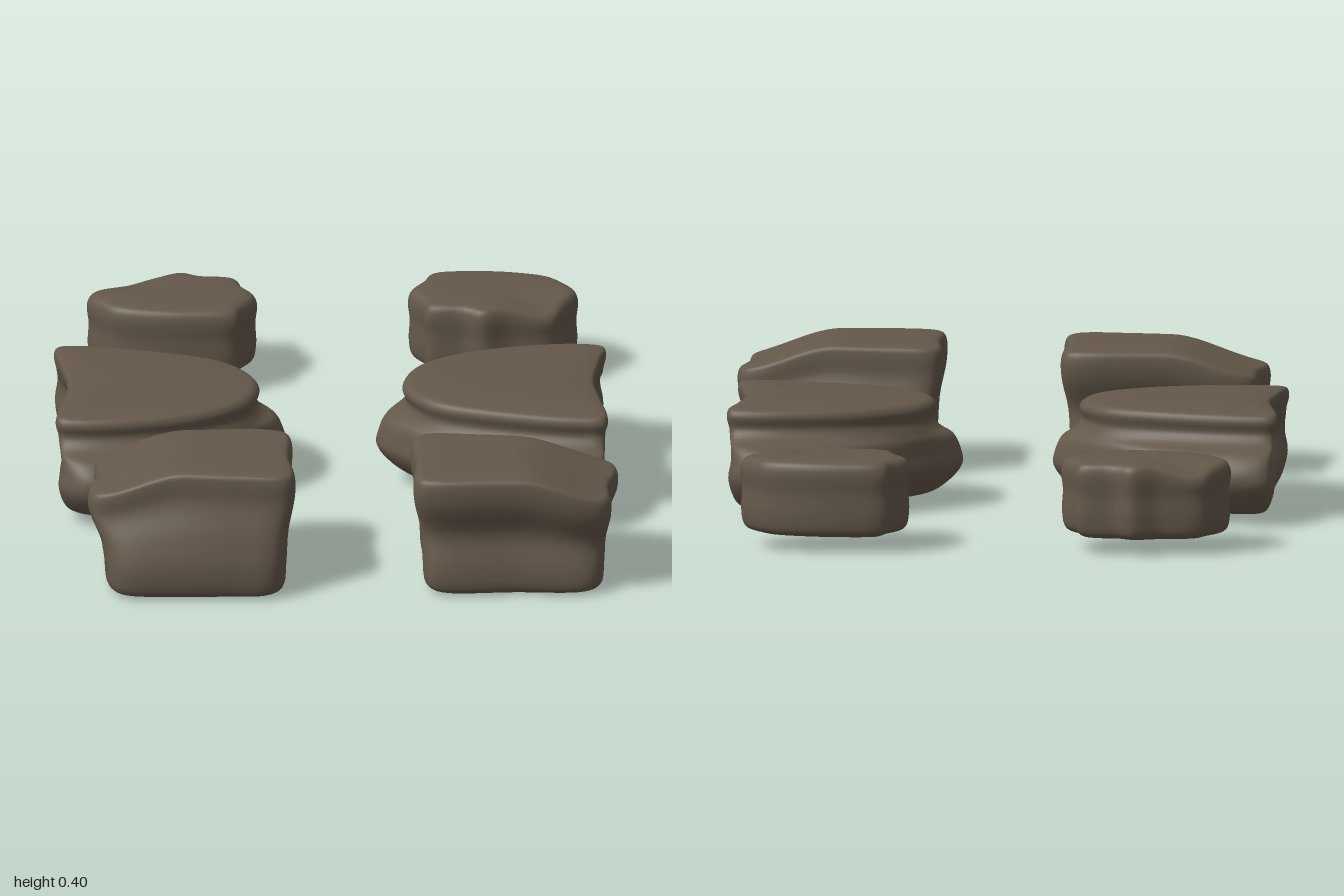
import * as THREE from 'three';

const stone = new THREE.MeshStandardMaterial({ color: 0x64584a });
stone.name = 'brown stone';

const smooth = THREE.MathUtils.smoothstep;
const bell = (v, c, w) => Math.exp(-(((v - c) / w) ** 2));

// Lofts a rock. Outlines are [x, z] loops; each layer is [y, blend low-to-high, scale about pivot].
function rockGeometry({ low, high, pivot, layers, shape }) {
  const N = 96, STEPS = 5;
  const loop = (pts) => new THREE.CatmullRomCurve3(
    pts.map(([x, z]) => new THREE.Vector3(x, 0, z)), true, 'centripetal').getPoints(N);
  const a = loop(low), b = loop(high);
  const count = (layers.length - 1) * STEPS + 1;
  const pos = new Float32Array(count * N * 3);
  const index = [];
  const centre = new THREE.Vector3(pivot[0], 0, pivot[1]);
  for (let j = 0; j < N; j++) {
    // vertical curve through the layers at this point of the outline
    const rib = new THREE.CatmullRomCurve3(layers.map(([y, t, s]) => {
      const p = a[j].clone().lerp(b[j], t).sub(centre).multiplyScalar(s).add(centre);
      p.y = y;
      return p;
    }), false, 'centripetal').getPoints(count - 1);
    rib.forEach((p, i) => {
      shape(p);
      p.toArray(pos, (i * N + j) * 3);
      if (i === count - 1) return;
      const k = (j + 1) % N;
      const v0 = i * N + j, v1 = i * N + k, v2 = v0 + N, v3 = v1 + N;
      index.push(v0, v1, v2, v1, v3, v2);
    });
  }
  const g = new THREE.BufferGeometry();
  g.setAttribute('position', new THREE.BufferAttribute(pos, 3));
  g.setIndex(index);
  g.computeVertexNormals();
  return g;
}

// Blocky front stone: leaning back face, hollow front, top falling to the outside
const frontStone = {
  low: [[.82, .93], [.82, .8], [.81, .6], [.77, .55], [.6, .535], [.42, .535], [.3, .54],
    [.26, .58], [.265, .78], [.265, .93], [.3, .97], [.55, .97], [.78, .97]],
  high: [[.84, .95], [.845, .82], [.87, .68], [.84, .63], [.6, .61], [.42, .59], [.26, .585],
    [.23, .62], [.24, .78], [.24, .96], [.29, .99], [.55, .99], [.79, .985]],
  pivot: [.545, .765],
  layers: [[0, 0, 0], [0, 0, .88], [.02, 0, .97], [.1, 0, 1], [.2, .35, .99], [.3, .95, 1],
    [.36, 1, 1], [.385, 1, .97], [.393, 1, .88], [.393, 1, 0]],
  shape(p) {
    p.z -= .03 * smooth(p.z, .88, .96) * bell(p.y, .19, .08);
    p.y *= 1 - .19 * smooth(p.x, .56, .86);
  },
};

// Wide middle stone: rounded base with a smaller slab stepped on top
const middleStone = {
  low: [[.83, .03], [.84, -.2], [.83, -.35], [.74, -.41], [.58, -.35], [.38, -.25], [.22, -.11],
    [.13, .03], [.22, .17], [.36, .29], [.56, .41], [.76, .46], [.83, .44], [.84, .28]],
  high: [[.81, .03], [.83, -.14], [.845, -.26], [.77, -.285], [.58, -.27], [.38, -.21], [.25, -.11],
    [.21, .02], [.24, .12], [.32, .21], [.52, .29], [.76, .34], [.84, .33], [.83, .18]],
  pivot: [.68, .025],
  layers: [[.02, 0, 0], [.02, 0, .72], [.045, 0, .87], [.12, 0, 1], [.17, 0, .99], [.215, .35, 1],
    [.24, .85, 1], [.27, 1, .98], [.305, 1, 1], [.325, 1, .97], [.333, 1, .88], [.345, 1, 0]],
  shape(p) {
    // hollow in the outer face
    p.x -= .06 * smooth(p.x, .7, .83) * bell(p.y, .2, .06) * bell(p.z, .03, .25);
  },
};

// Small faceted back stone
const backOutline = [[.77, -.83], [.72, -.92], [.68, -.955], [.56, -.99], [.44, -1], [.31, -.985],
  [.285, -.93], [.24, -.84], [.28, -.76], [.3, -.7], [.41, -.68], [.47, -.65], [.55, -.675],
  [.69, -.7], [.73, -.76]];
const backStone = {
  low: backOutline,
  high: backOutline,
  pivot: [.505, -.825],
  layers: [[.045, 0, 0], [.045, 0, .84], [.06, 0, .95], [.11, 0, .99], [.18, 0, .98], [.24, 0, 1],
    [.268, 0, .96], [.28, 0, .87], [.283, 0, 0]],
  shape(p) {
    p.y -= .03 * smooth(p.y, .15, .28) * bell(p.x, .66, .09) * bell(p.z, -.7, .08);
  },
};

export function createModel() {
  const group = new THREE.Group();
  group.name = 'stones';
  // Each right-hand stone reappears opposite, turned half round and shifted by [x, z]
  const pairs = [
    ['frontStone', frontStone, .09, 1.53],
    ['middleStone', middleStone, -.025, .05],
    ['backStone', backStone, .01, -1.65],
  ];
  for (const [name, spec, x, z] of pairs) {
    const left = new THREE.Mesh(rockGeometry(spec), stone);
    left.name = name + 'Left';
    const right = left.clone();
    right.name = name + 'Right';
    right.rotation.y = Math.PI;
    right.position.set(x, 0, z);
    group.add(left, right);
  }
  return group;
}
